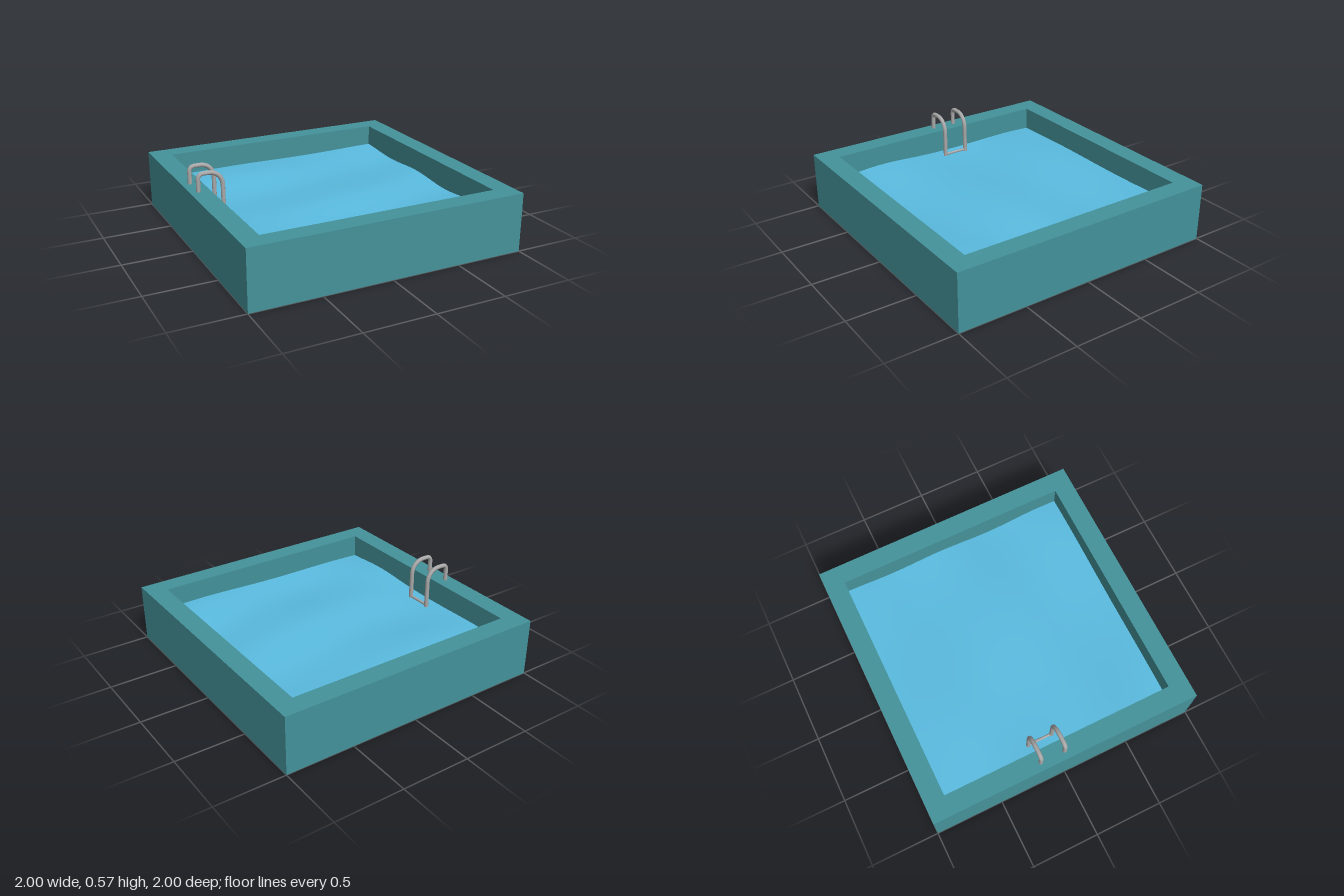
import * as THREE from 'three';

const HALF = 1, INNER = 0.857, HEIGHT = 0.425, FLOOR = 0.06, WATER = 0.26;

function material(color, extra = {}) {
  return new THREE.MeshStandardMaterial({ color, ...extra });
}

function square(Type, h) {
  return new Type([[-h, -h], [h, -h], [h, h], [-h, h]].map(([x, y]) => new THREE.Vector2(x, y)));
}

// Square rim walls with a floor slab inside
function makeBasin() {
  const basin = new THREE.Group();
  basin.name = 'basin';
  const teal = material(0x44929a);

  const shape = square(THREE.Shape, HALF);
  shape.holes.push(square(THREE.Path, INNER));
  const wallGeometry = new THREE.ExtrudeGeometry(shape, { depth: HEIGHT, bevelEnabled: false });
  wallGeometry.rotateX(-Math.PI / 2);
  const walls = new THREE.Mesh(wallGeometry, teal);
  walls.name = 'walls';

  const floor = new THREE.Mesh(new THREE.BoxGeometry(INNER * 2, FLOOR, INNER * 2), teal);
  floor.name = 'floor';
  floor.position.y = FLOOR / 2;
  basin.add(walls, floor);
  return basin;
}

// Gently rippled water sheet
function makeWater() {
  const geometry = new THREE.PlaneGeometry(INNER * 2, INNER * 2, 48, 48);
  geometry.rotateX(-Math.PI / 2);
  const p = geometry.attributes.position;
  for (let i = 0; i < p.count; i++) {
    const x = p.getX(i), z = p.getZ(i);
    const wave = 0.009 * Math.sin(2.2 * x + 7 * z + 0.6)
      + 0.006 * Math.sin(4.5 * x - 3 * z + 1)
      + 0.004 * Math.sin(9 * z + 3 * x * x);
    p.setY(i, WATER + wave);
  }
  geometry.computeVertexNormals();
  const water = new THREE.Mesh(geometry, material(0x5abbe0, { side: THREE.DoubleSide }));
  water.name = 'water';
  return water;
}

// Two bent rails joined by rungs
function makeLadder() {
  const ladder = new THREE.Group();
  ladder.name = 'ladder';
  const metal = material(0xaaaaaa);
  const v = (x, y) => new THREE.Vector3(x, y, 0);

  const path = new THREE.CurvePath();
  path.add(new THREE.LineCurve3(v(-0.94, 0.40), v(-0.94, 0.51)));
  path.add(new THREE.QuadraticBezierCurve3(v(-0.94, 0.51), v(-0.94, 0.55), v(-0.90, 0.55)));
  path.add(new THREE.LineCurve3(v(-0.90, 0.55), v(-0.865, 0.55)));
  path.add(new THREE.CubicBezierCurve3(v(-0.865, 0.55), v(-0.81, 0.55), v(-0.765, 0.51), v(-0.765, 0.445)));
  path.add(new THREE.LineCurve3(v(-0.765, 0.445), v(-0.765, FLOOR)));
  const railGeometry = new THREE.TubeGeometry(path, 64, 0.016, 8);

  for (const z of [-0.18, 0]) {
    const rail = new THREE.Mesh(railGeometry, metal);
    rail.name = z < 0 ? 'backRail' : 'frontRail';
    rail.position.z = z;
    ladder.add(rail);
  }

  const rungGeometry = new THREE.CylinderGeometry(0.01, 0.01, 0.18, 8);
  rungGeometry.rotateX(Math.PI / 2);
  [0.262, 0.19, 0.12].forEach((y, i) => {
    const rung = new THREE.Mesh(rungGeometry, metal);
    rung.name = `rung${i + 1}`;
    rung.position.set(-0.765, y, -0.09);
    ladder.add(rung);
  });
  return ladder;
}

export function createModel() {
  const pool = new THREE.Group();
  pool.name = 'pool';
  pool.add(makeBasin(), makeWater(), makeLadder());
  return pool;
}
